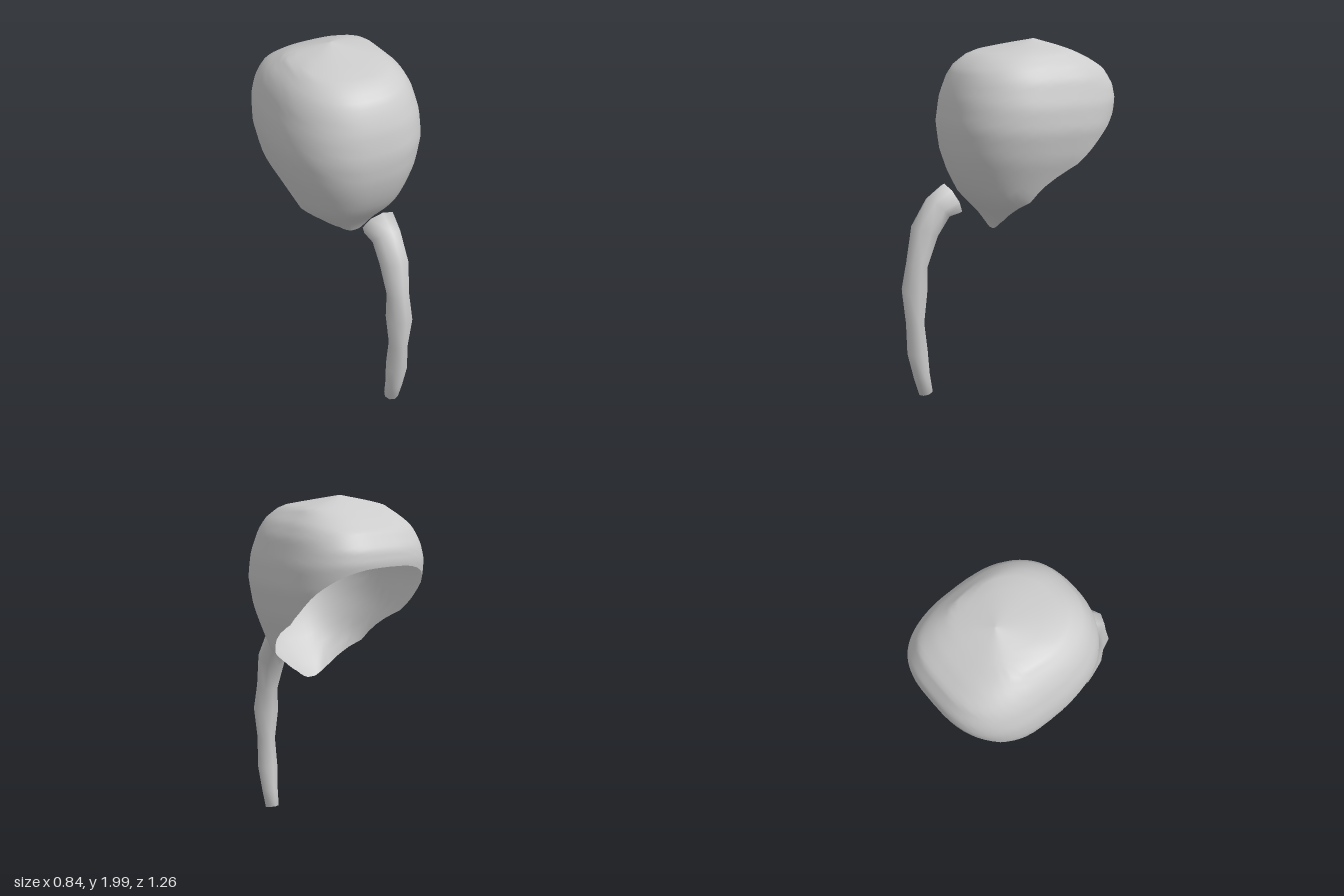
import * as THREE from 'three';

// Piecewise linear lookup in [key, value] pairs with falling keys
function lookup(table, key) {
  if (key >= table[0][0]) return table[0][1];
  for (let i = 1; i < table.length; i++) {
    const [k0, v0] = table[i - 1], [k1, v1] = table[i];
    if (key >= k1) return v0 + (v1 - v0) * (k0 - key) / (k0 - k1);
  }
  return table[table.length - 1][1];
}

// Smooth skin over closed rings that run from top to bottom
function loft(rings) {
  const n = rings[0].length, index = [];
  for (let i = 0; i < rings.length - 1; i++) {
    for (let j = 0; j < n; j++) {
      const k = (j + 1) % n;
      const a = i * n + j, b = a + n, c = (i + 1) * n + k, d = i * n + k;
      index.push(a, b, c, a, c, d);
    }
  }
  const geometry = new THREE.BufferGeometry();
  geometry.setAttribute('position', new THREE.Float32BufferAttribute(rings.flat(2), 3));
  geometry.setIndex(index);
  geometry.computeVertexNormals();
  return geometry;
}

// Hood outline by height: half width, front z, back z, and centre z
const halfWidth = [[2, 0.005], [1.97, 0.15], [1.945, 0.25], [1.87, 0.33], [1.8, 0.37], [1.66, 0.41],
  [1.53, 0.42], [1.37, 0.39], [1.27, 0.355], [1.13, 0.31], [1.05, 0.23], [0.98, 0.18], [0.94, 0.15]];
const frontZ = [[2, -0.195], [1.97, -0.04], [1.93, 0.17], [1.86, 0.26], [1.8, 0.295], [1.7, 0.333], [1.55, 0.355],
  [1.4, 0.34], [1.27, 0.3], [1.15, 0.24], [1.05, 0.15], [0.99, 0.09], [0.94, 0.07]];
const backZ = [[2, -0.205], [1.97, -0.3], [1.94, -0.38], [1.9, -0.47], [1.84, -0.565], [1.75, -0.62],
  [1.68, -0.63], [1.6, -0.615], [1.4, -0.55], [1.1, -0.42]];
const centreZ = [[2, -0.2], [1.9, -0.16], [1.7, -0.15]];
// Height of the slanting rim by z
const rimY = [[0.07, 0.94], [0.06, 1.04], [0.03, 1.1], [-0.02, 1.14], [-0.05, 1.19], [-0.1, 1.24], [-0.17, 1.29],
  [-0.27, 1.34], [-0.35, 1.41], [-0.45, 1.51], [-0.55, 1.6], [-0.63, 1.665]];

function hoodPoint(angle, y) {
  const s = Math.sin(angle), c = Math.cos(angle);
  const power = 2 / (c > 0 ? 2.4 : 2.9);
  const zc = lookup(centreZ, y), end = lookup(c > 0 ? frontZ : backZ, y);
  return [
    Math.sign(s) * Math.pow(Math.abs(s), power) * lookup(halfWidth, y), y,
    zc + (end - zc) * Math.pow(Math.abs(c), power),
  ];
}

// Lowest height before a meridian meets the rim
function hoodEnd(angle) {
  let y = 1.9;
  while (y > 0.94 && y > lookup(rimY, hoodPoint(angle, y)[2])) y -= 0.002;
  return Math.max(y, 0.94);
}

function hoodGeometry() {
  const sides = 64, rows = 26, rings = [];
  const ends = Array.from({ length: sides }, (_, j) => hoodEnd(j / sides * Math.PI * 2));
  for (let i = 0; i <= rows; i++) {
    const t = Math.pow(i / rows, 1.7);
    rings.push(ends.map((end, j) => hoodPoint(j / sides * Math.PI * 2, 2 - (2 - end) * t)));
  }
  rings.unshift(ends.map(() => [0, 2, -0.2]));
  return loft(rings);
}

// Tail centre line: z, y, radius
const tailPath = [[0.32, 1.135, 0.1], [0.405, 1.093, 0.086], [0.488, 0.968, 0.082], [0.537, 0.785, 0.064],
  [0.555, 0.635, 0.076], [0.555, 0.45, 0.055], [0.543, 0.275, 0.062], [0.52, 0.13, 0.05], [0.495, 0.02, 0.042]];

function tailGeometry() {
  const sides = 8, last = tailPath.length - 1;
  const ring = (i, scale) => {
    const [z, y, r] = tailPath[i];
    const p = tailPath[Math.max(i - 1, 0)], q = tailPath[Math.min(i + 1, last)];
    const length = Math.hypot(q[0] - p[0], q[1] - p[1]);
    const ny = (q[0] - p[0]) / length, nz = (p[1] - q[1]) / length;
    return Array.from({ length: sides }, (_, j) => {
      const a = j / sides * Math.PI * 2, u = Math.cos(a) * r * scale;
      return [Math.sin(a) * r * scale, y + ny * u, z + nz * u];
    });
  };
  // Collapsed rings close both ends
  return loft([ring(0, 0), ...tailPath.map((_, i) => ring(i, 1)), ring(last, 0)]);
}

export function createModel() {
  const grey = new THREE.MeshStandardMaterial({ color: 0xcccccc, side: THREE.DoubleSide });
  grey.name = 'light grey';
  const group = new THREE.Group();
  group.name = 'hoodAndTail';
  const add = (name, geometry) => {
    const mesh = new THREE.Mesh(geometry, grey);
    mesh.name = name;
    group.add(mesh);
  };
  add('hood', hoodGeometry());
  add('tail', tailGeometry());
  return group;
}
